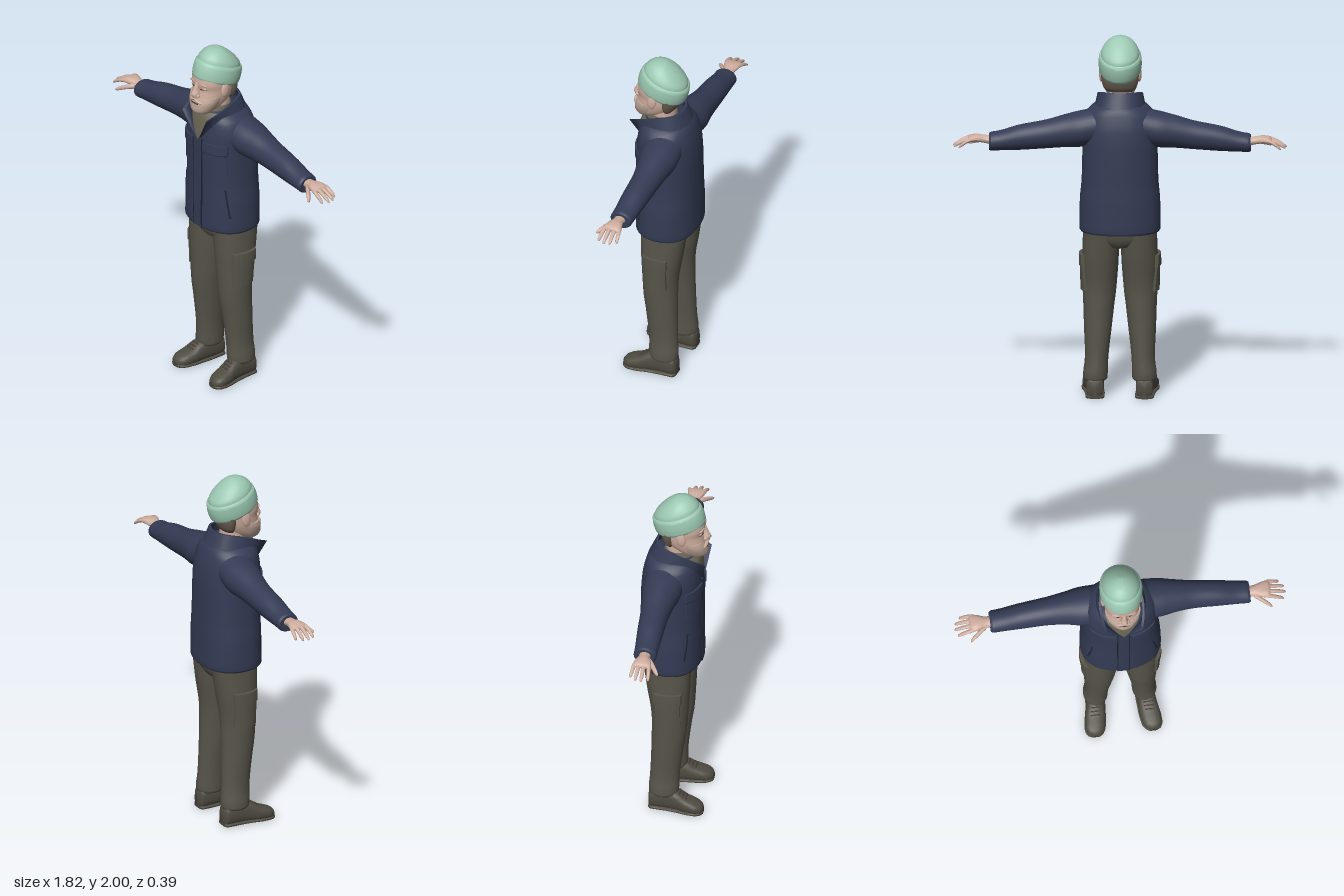
import * as THREE from 'three';
import { toCreasedNormals } from 'three/addons/utils/BufferGeometryUtils.js';

const paint = (name, color) => Object.assign(new THREE.MeshStandardMaterial({ color }), { name });
const M = {
  jacket: paint('navy jacket', 0x343b54), seam: paint('dark seam', 0x1f2436),
  trousers: paint('olive trousers', 0x57554a), sweater: paint('khaki sweater', 0x6a6656),
  hat: paint('mint wool', 0x9cc8b2), skin: paint('skin', 0xcfae9f), beard: paint('beard', 0xc1a799),
  hair: paint('hair', 0x665b4e), shoe: paint('shoe leather', 0x4e4b41), dark: paint('dark detail', 0x4a3d37),
};

// Section = [t, a, b, ra, rb, power]; values between sections follow a monotone cubic
function at(S, t) {
  let i = 0;
  while (i < S.length - 2 && t > S[i + 1][0]) i++;
  const sec = (j, c) => (S[j + 1][c] - S[j][c]) / (S[j + 1][0] - S[j][0]);
  const slope = (j, c) => {
    if (j === 0) return sec(0, c);
    if (j === S.length - 1) return sec(j - 1, c);
    const p = sec(j - 1, c), q = sec(j, c);
    return p * q <= 0 ? 0 : 2 * p * q / (p + q);
  };
  const h = S[i + 1][0] - S[i][0], s = Math.min(1, Math.max(0, (t - S[i][0]) / h)), s2 = s * s, s3 = s2 * s;
  return S[i].map((v, c) => c === 0 ? t : (2 * s3 - 3 * s2 + 1) * v + (s3 - 2 * s2 + s) * h * slope(i, c)
    + (3 * s2 - 2 * s3) * S[i + 1][c] + (s3 - s2) * h * slope(i + 1, c));
}

// Upright section from its centre x, half width, front z and back z
const Y = (y, cx, rx, f, b, p = 2) => [y, (f + b) / 2, cx, (f - b) / 2, rx, p];

function meshGeo(pos, idx, crease) {
  const g = new THREE.BufferGeometry();
  g.setAttribute('position', new THREE.Float32BufferAttribute(pos, 3));
  g.setIndex(idx);
  return toCreasedNormals(g, crease);
}

// Closed, capped loft of superellipse sections along axis 0 (x), 1 (y) or 2 (z)
function loft(S, axis, n = 32, steps = 4) {
  const ts = [], pos = [], idx = [];
  S.forEach((s, i) => {
    if (i) for (let k = 1; k <= steps; k++) ts.push(S[i - 1][0] + (s[0] - S[i - 1][0]) * k / steps);
    else ts.push(s[0]);
  });
  const put = (t, a, b) => { const p = []; p[axis] = t; p[(axis + 1) % 3] = a; p[(axis + 2) % 3] = b; pos.push(...p); };
  for (const t of ts) {
    const [, a, b, ra, rb, p] = at(S, t);
    for (let j = 0; j < n; j++) {
      const w = j / n * Math.PI * 2, c = Math.cos(w), s = Math.sin(w);
      put(t, a + ra * Math.sign(c) * Math.abs(c) ** (2 / p), b + rb * Math.sign(s) * Math.abs(s) ** (2 / p));
    }
  }
  const R = ts.length, e0 = S[0], e1 = S[S.length - 1];
  put(e0[0], e0[1], e0[2]);
  put(e1[0], e1[1], e1[2]);
  for (let j = 0; j < n; j++) {
    const k = (j + 1) % n;
    for (let i = 0; i < R - 1; i++) {
      const p = i * n + j, q = i * n + k;
      idx.push(p, q, q + n, p, q + n, p + n);
    }
    idx.push(R * n, k, j, R * n + 1, (R - 1) * n + j, (R - 1) * n + k);
  }
  return meshGeo(pos, idx, 0.9);
}

// Thin plate laid on an upright loft: u(s, k) is the sideways position, s in -0.5..0.5, k in 0..1 upwards
function plate(S, side, v0, v1, u, thick) {
  const g = new THREE.BoxGeometry(1, 1, 1, 10, 10, 1), p = g.attributes.position;
  for (let i = 0; i < p.count; i++) {
    const k = p.getY(i) + 0.5, y = v0 + (v1 - v0) * k, w = u(p.getX(i), k);
    const d = p.getZ(i) > 0 ? thick : -0.008, [, a, b, ra, rb, e] = at(S, y);
    const edge = (q) => Math.max(0, 1 - Math.abs(q) ** e) ** (1 / e);
    if (side === 'front') p.setXYZ(i, w, y, a + ra * edge((w - b) / rb) + d);
    else p.setXYZ(i, b + rb * edge((-w - a) / ra) + d, y, -w);
  }
  return toCreasedNormals(g, 0.7);
}
const span = (c, w, lean = 0) => (s, k) => c + s * w + lean * (k - 0.5);

function mirrored(geo) {
  const g = geo.clone().scale(-1, 1, 1);
  const old = g.index ? Array.from(g.index.array) : Array.from({ length: g.attributes.position.count }, (_, i) => i);
  for (let i = 0; i < old.length; i += 3) [old[i], old[i + 1]] = [old[i + 1], old[i]];
  g.setIndex(old);
  return g;
}

// Standing collar: a thick band whose ends fall away into lapels
function collarGeo() {
  const path = (half) => new THREE.CatmullRomCurve3([...half.slice(1).reverse(), [half[0][0], half[0][1], half[0][2]],
    ...half.slice(1).map(([x, y, z]) => [-x, y, z])].map((q) => new THREE.Vector3(...q)));
  const low = path([[0, 1.63, -0.14], [0.1, 1.635, -0.1], [0.14, 1.615, 0], [0.11, 1.57, 0.1], [0.012, 1.48, 0.158]]);
  const top = path([[0, 1.71, -0.105], [0.085, 1.71, -0.075], [0.122, 1.69, 0.02], [0.118, 1.655, 0.115], [0.1, 1.625, 0.182]]);
  const pos = [], idx = [], N = 48;
  for (let i = 0; i <= N; i++) {
    const b = low.getPoint(i / N), t = top.getPoint(i / N);
    const inner = (v) => [v.x * 0.9, v.y, 0.03 + (v.z - 0.03) * 0.91];
    pos.push(b.x, b.y, b.z, t.x, t.y, t.z, ...inner(t), ...inner(b));
    if (i < N) for (let j = 0; j < 4; j++) {
      const p = i * 4 + j, q = i * 4 + (j + 1) % 4;
      idx.push(p, p + 4, q + 4, p, q + 4, q);
    }
  }
  const e = N * 4;
  idx.push(0, 1, 2, 0, 2, 3, e, e + 2, e + 1, e, e + 3, e + 2);
  return meshGeo(pos, idx, 0.8);
}

export function createModel() {
  const model = new THREE.Group();
  model.name = 'man';
  const add = (name, geo, mat) => {
    const m = new THREE.Mesh(geo, mat);
    m.name = name;
    model.add(m);
    return m;
  };
  const pair = (name, geo, mat) => { add('left ' + name, geo, mat); add('right ' + name, mirrored(geo), mat); };

  // Jacket
  const torso = [Y(0.93, 0, 0.215, 0.148, -0.185, 2.3), Y(0.942, 0, 0.222, 0.154, -0.19, 2.3), Y(1.1, 0, 0.219, 0.152, -0.19, 2.3),
    Y(1.22, 0, 0.209, 0.15, -0.187, 2.3), Y(1.4, 0, 0.205, 0.152, -0.184, 2.3), Y(1.5, 0, 0.204, 0.15, -0.176, 2.3),
    Y(1.58, 0, 0.187, 0.14, -0.158, 2.3), Y(1.625, 0, 0.15, 0.13, -0.14, 2.2), Y(1.645, 0, 0.115, 0.112, -0.115, 2)];
  add('jacket body', loft(torso, 1, 48, 5), M.jacket);
  add('collar', collarGeo(), M.jacket);
  pair('sleeve', loft([[0.07, 1.535, -0.03, 0.1, 0.11, 2], [0.2, 1.502, -0.038, 0.1, 0.108, 2], [0.3, 1.488, -0.042, 0.09, 0.09, 2],
    [0.4, 1.47, -0.044, 0.079, 0.077, 2], [0.55, 1.449, -0.041, 0.069, 0.07, 2], [0.66, 1.43, -0.038, 0.054, 0.064, 2],
    [0.7, 1.425, -0.037, 0.052, 0.063, 2], [0.713, 1.424, -0.037, 0.046, 0.056, 2]], 0, 32, 5), M.jacket);
  add('front placket', plate(torso, 'front', 0.935, 1.49, span(0, 0.064), 0.006), M.jacket);
  for (const x of [-0.034, 0.03]) add('placket seam', plate(torso, 'front', 0.935, 1.48, span(x, 0.005), 0.0065), M.seam);
  pair('chest pocket', plate(torso, 'front', 1.3, 1.45, span(0.11, 0.125), 0.006), M.jacket);
  pair('chest pocket flap', plate(torso, 'front', 1.415, 1.47, span(0.11, 0.132), 0.012), M.jacket);
  pair('flap seam', plate(torso, 'front', 1.41, 1.416, span(0.11, 0.128), 0.009), M.seam);
  pair('hand pocket seam', plate(torso, 'front', 1.03, 1.2, span(0.178, 0.005, -0.024), 0.003), M.seam);

  // Sweater
  add('sweater front', plate(torso, 'front', 1.475, 1.64, (s, k) => s * (0.01 + 0.18 * k), 0.007), M.sweater);
  add('sweater neck', loft([Y(1.59, 0, 0.1, 0.135, -0.08), Y(1.64, 0, 0.085, 0.122, -0.065), Y(1.668, 0, 0.078, 0.11, -0.055)], 1), M.sweater);

  // Trousers
  const leg = [Y(0.095, 0.133, 0.06, 0.035, -0.114), Y(0.105, 0.134, 0.067, 0.042, -0.12), Y(0.135, 0.133, 0.067, 0.045, -0.122),
    Y(0.2, 0.128, 0.064, 0.046, -0.117), Y(0.4, 0.12, 0.077, 0.068, -0.11), Y(0.5, 0.116, 0.084, 0.083, -0.109),
    Y(0.6, 0.112, 0.092, 0.09, -0.11), Y(0.8, 0.106, 0.1, 0.1, -0.138, 2.2), Y(0.96, 0.1, 0.1, 0.105, -0.16, 2.2)];
  pair('trouser leg', loft(leg, 1, 32, 5), M.trousers);
  add('trouser seat', loft([Y(0.835, 0, 0.05, 0.03, -0.08), Y(0.855, 0, 0.13, 0.085, -0.13), Y(0.9, 0, 0.2, 0.104, -0.152, 2.4),
    Y(0.96, 0, 0.203, 0.107, -0.165, 2.4)], 1), M.trousers);
  pair('cargo pocket', plate(leg, 'side', 0.595, 0.79, span(0.008, 0.135), 0.012), M.trousers);
  pair('cargo pocket flap', plate(leg, 'side', 0.735, 0.8, span(0.008, 0.148), 0.018), M.trousers);

  // Shoes
  const shoe = [[-0.12, 0.135, 0.05, 0.03, 0.045, 2.6], [-0.108, 0.135, 0.058, 0.046, 0.058, 2.6], [-0.02, 0.137, 0.066, 0.05, 0.066, 2.6],
    [0.04, 0.143, 0.058, 0.052, 0.058, 2.6], [0.09, 0.15, 0.043, 0.056, 0.043, 2.6], [0.14, 0.156, 0.034, 0.053, 0.034, 2.6],
    [0.172, 0.158, 0.027, 0.038, 0.026, 2.4], [0.184, 0.158, 0.024, 0.018, 0.015, 2]];
  pair('shoe', loft(shoe, 2, 32), M.shoe);
  pair('shoe sole', loft(shoe.map(([z, x, , w]) => [z, x, 0.009, w + 0.004, 0.009, 4]), 2, 32), M.shoe);
  for (const z of [0.052, 0.07, 0.088]) {
    const [, x, b, , rb] = at(shoe, z);
    pair('shoe lace', new THREE.CapsuleGeometry(0.004, 0.045, 4, 8).rotateZ(Math.PI / 2).translate(x, b + rb, z), M.dark);
  }

  // Hands
  pair('palm', loft([[0.69, 1.43, -0.035, 0.026, 0.033, 2], [0.735, 1.437, -0.035, 0.022, 0.031, 2], [0.78, 1.443, -0.034, 0.02, 0.044, 2.3],
    [0.815, 1.441, -0.034, 0.016, 0.05, 2.4], [0.828, 1.438, -0.034, 0.009, 0.045, 2.4]], 0, 24), M.skin);
  const finger = (x0, y0, z0, x1, y1, z1, r) => loft([0, 0.12, 0.5, 0.85, 0.97, 1].map((k, i) => {
    const w = r * [0.9, 1, 0.95, 0.8, 0.5, 0.15][i];
    return [x0 + (x1 - x0) * k, y0 + (y1 - y0) * k ** 1.5, z0 + (z1 - z0) * k, w, w, 2];
  }), 0, 12, 2);
  [[-0.074, 0.878, -0.086], [-0.048, 0.904, -0.055], [-0.021, 0.91, -0.022], [0.006, 0.895, 0.014]].forEach(([z0, x1, z1], i) =>
    pair('finger ' + (i + 1), finger(0.805, 1.442, z0, x1, 1.4, z1, 0.0115), M.skin));
  pair('thumb', finger(0.735, 1.428, -0.012, 0.828, 1.395, 0.053, 0.015), M.skin);

  // Head
  const head = [Y(1.636, 0, 0.04, 0.155, 0.07), Y(1.66, 0, 0.066, 0.174, 0.02), Y(1.7, 0, 0.085, 0.172, -0.03, 2.2),
    Y(1.75, 0, 0.097, 0.164, -0.06, 2.3), Y(1.785, 0, 0.1, 0.158, -0.068, 2.3), Y(1.82, 0, 0.103, 0.165, -0.07, 2.3),
    Y(1.86, 0, 0.103, 0.16, -0.07, 2.2), Y(1.92, 0, 0.08, 0.12, -0.06)];
  add('head', loft(head, 1, 40, 5), M.skin);
  add('neck', loft([Y(1.6, 0, 0.07, 0.09, -0.05), Y(1.74, 0, 0.07, 0.09, -0.05)], 1), M.skin);
  add('back hair', loft([Y(1.705, 0, 0.07, 0.01, -0.05), Y(1.73, 0, 0.09, 0.015, -0.066), Y(1.78, 0, 0.102, 0.02, -0.077),
    Y(1.84, 0, 0.104, 0.02, -0.077)], 1), M.hair);
  const beard = [Y(1.632, 0, 0.035, 0.162, 0.09), Y(1.645, 0, 0.056, 0.178, 0.06), Y(1.67, 0, 0.074, 0.185, 0.035, 2.2),
    Y(1.705, 0, 0.09, 0.18, 0.03, 2.3), Y(1.728, 0, 0.096, 0.171, 0.03, 2.3), Y(1.745, 0, 0.097, 0.163, 0.03, 2.3)];
  add('beard', loft(beard, 1, 40), M.beard);
  add('mouth', plate(beard, 'front', 1.703, 1.709, span(0, 0.055), 0.003), M.dark);
  pair('moustache', new THREE.SphereGeometry(1, 20, 12).scale(0.032, 0.009, 0.014).rotateZ(-0.35).rotateY(0.3)
    .translate(0.026, 1.72, 0.171), M.beard);
  add('nose', loft([Y(1.738, 0, 0.01, 0.178, 0.15), Y(1.746, 0, 0.021, 0.193, 0.14), Y(1.758, 0, 0.021, 0.198, 0.14),
    Y(1.785, 0, 0.014, 0.186, 0.14), Y(1.825, 0, 0.011, 0.17, 0.14)], 1, 20), M.skin);
  pair('nostril wing', new THREE.SphereGeometry(0.011, 12, 8).translate(0.018, 1.75, 0.17), M.skin);
  pair('eyelid', new THREE.SphereGeometry(1, 16, 10).scale(0.02, 0.012, 0.012).translate(0.042, 1.798, 0.144), M.skin);
  pair('eye line', plate(head, 'front', 1.791, 1.795, span(0.043, 0.034), 0.005), M.dark);
  pair('eyebrow', new THREE.SphereGeometry(1, 16, 8).scale(0.026, 0.006, 0.009).rotateZ(-0.12).rotateY(0.25)
    .translate(0.045, 1.824, 0.155), M.beard);
  pair('ear', new THREE.SphereGeometry(1, 20, 14).scale(0.012, 0.044, 0.026).rotateX(-0.15).translate(0.104, 1.785, 0.048), M.skin);

  // Knitted hat, tilted back
  const cuff = loft([Y(0, 0, 0.108, 0.138, -0.138), Y(0.012, 0, 0.115, 0.144, -0.144), Y(0.05, 0, 0.118, 0.148, -0.145),
    Y(0.092, 0, 0.115, 0.144, -0.138), Y(0.102, 0, 0.108, 0.136, -0.13)], 1, 40);
  const crown = loft([Y(0.08, 0, 0.108, 0.137, -0.131), Y(0.115, 0, 0.103, 0.135, -0.118), Y(0.145, 0, 0.086, 0.121, -0.082),
    Y(0.17, 0, 0.06, 0.096, -0.036), Y(0.184, 0, 0.034, 0.068, 0.002), Y(0.191, 0, 0.008, 0.044, 0.028)], 1, 40, 5);
  for (const [name, geo] of [['hat cuff', cuff], ['hat crown', crown]]) add(name, geo.rotateX(-0.33).translate(0, 1.808, 0.034), M.hat);

  return model;
}
